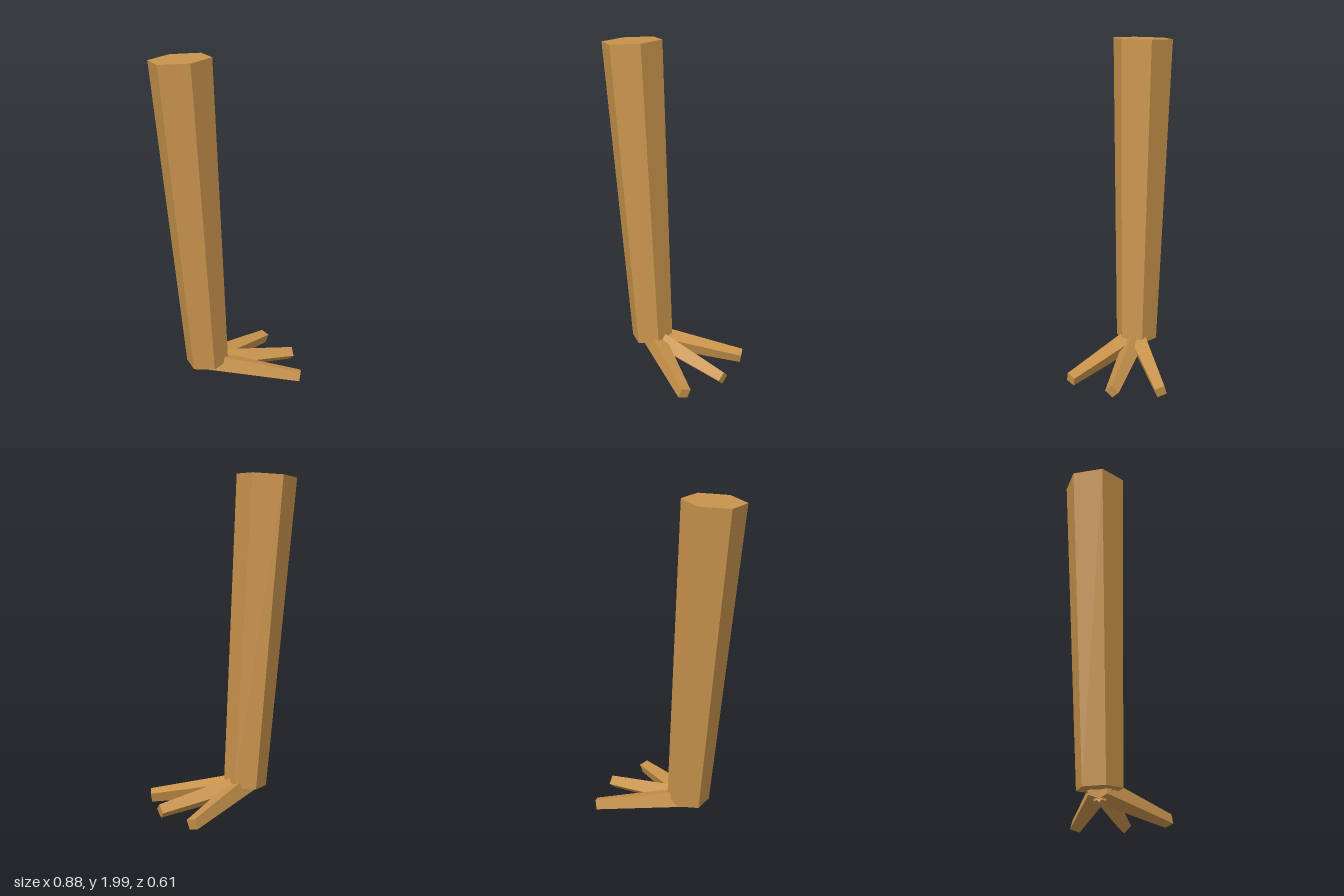
import * as THREE from 'three';

// Tapered prism running from one point to another
function limb(name, from, to, rFrom, rTo, sides, material) {
  const a = new THREE.Vector3(...from);
  const b = new THREE.Vector3(...to);
  const axis = b.clone().sub(a);
  const geometry = new THREE.CylinderGeometry(rTo, rFrom, axis.length(), sides);
  const mesh = new THREE.Mesh(geometry, material);
  mesh.name = name;
  mesh.position.copy(a).add(b).multiplyScalar(0.5);
  mesh.quaternion.setFromUnitVectors(new THREE.Vector3(0, 1, 0), axis.normalize());
  return mesh;
}

export function createModel() {
  const group = new THREE.Group();
  group.name = 'birdLeg';
  const skin = new THREE.MeshStandardMaterial({ color: 0xc8934c });
  skin.name = 'tan skin';
  skin.flatShading = true;

  const ankle = [-0.143, 0.118, 0];

  // Leaning six-sided shank, thicker at the top
  group.add(limb('shank', ankle, [-0.285, 1.988, 0], 0.13, 0.179, 6, skin));

  // Three four-sided toes fanning out from the ankle
  group.add(limb('middleToe', ankle, [0.435, 0.047, 0], 0.07, 0.042, 4, skin));
  for (const side of [-1, 1]) {
    const name = side > 0 ? 'frontToe' : 'backToe';
    group.add(limb(name, ankle, [0.365, 0.047, side * 0.276], 0.07, 0.042, 4, skin));
  }
  return group;
}
